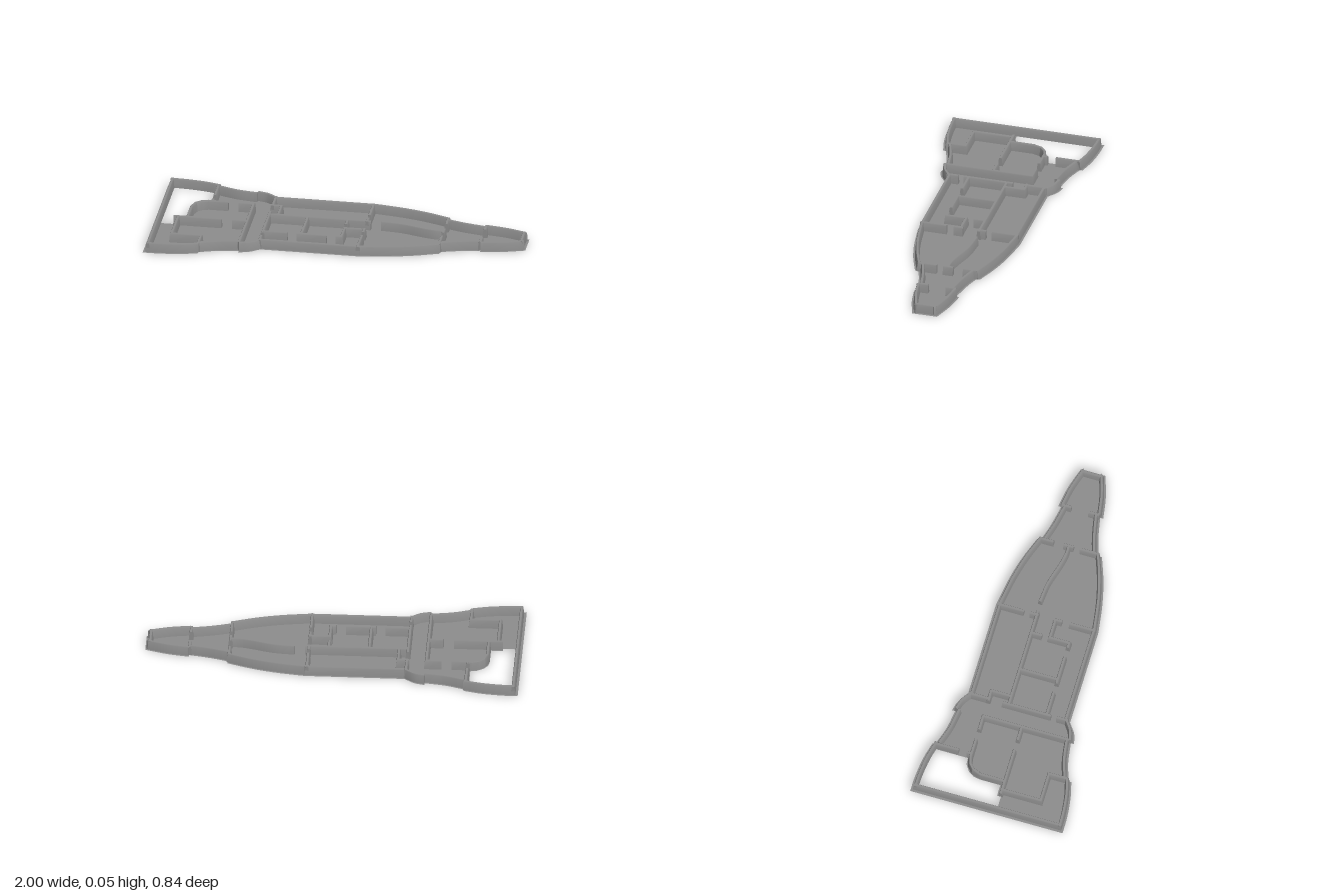
import * as THREE from 'three';
import { toCreasedNormals } from 'three/addons/utils/BufferGeometryUtils.js';

const grey = new THREE.MeshStandardMaterial({ color: 0x8c8c8c, side: THREE.DoubleSide });
grey.name = 'deck grey';

// Half cross-section of a wall: tapered sides and a softened top
const PROFILE = [[-0.0125, 0], [-0.008, 0.045], [-0.0055, 0.05], [0.0055, 0.05], [0.008, 0.045], [0.0125, 0]];

// Smooth curve through [x, z] points
function smooth(pts, n = 12) {
  const curve = new THREE.CatmullRomCurve3(pts.map(([x, z]) => new THREE.Vector3(x, 0, z)));
  return curve.getPoints(n).map(p => [p.x, p.z]);
}

// Sweeps the wall profile along an [x, z] path with mitred corners and capped ends
function wall(name, path) {
  const dirs = path.slice(1).map((p, i) => new THREE.Vector2(p[0] - path[i][0], p[1] - path[i][1]).normalize());
  const rings = path.map(([x, z], i) => {
    const a = dirs[Math.max(i - 1, 0)], b = dirs[Math.min(i, dirs.length - 1)];
    const d = a.clone().add(b).normalize();
    const miter = 1 / d.dot(a);
    return PROFILE.map(([o, y]) => [x - d.y * o * miter, y, z + d.x * o * miter]);
  });
  const pos = [];
  const tri = (...v) => v.forEach(p => pos.push(...p));
  for (let i = 0; i < rings.length - 1; i++) {
    for (let j = 0; j < PROFILE.length - 1; j++) {
      const a = rings[i][j], b = rings[i][j + 1], c = rings[i + 1][j], d = rings[i + 1][j + 1];
      tri(a, b, c);
      tri(c, b, d);
    }
  }
  const s = rings[0], e = rings[rings.length - 1];
  for (let k = 1; k < PROFILE.length - 1; k++) {
    tri(s[0], s[k + 1], s[k]);
    tri(e[0], e[k], e[k + 1]);
  }
  const geo = new THREE.BufferGeometry();
  geo.setAttribute('position', new THREE.Float32BufferAttribute(pos, 3));
  const mesh = new THREE.Mesh(toCreasedNormals(geo, 0.45), grey);
  mesh.name = name;
  return mesh;
}

// Hull outline on one side, in sections from the wide stern to the narrow bow
const SECTIONS = [
  smooth([[-1, 0.422], [-0.91, 0.42], [-0.8, 0.407], [-0.71, 0.385]]),
  smooth([[-0.71, 0.37], [-0.61, 0.338], [-0.5, 0.32]]),
  smooth([[-0.5, 0.338], [-0.445, 0.322], [-0.39, 0.283]]),
  [[-0.39, 0.283], [0.14, 0.283]],
  smooth([[0.14, 0.283], [0.3, 0.258], [0.43, 0.225], [0.555, 0.18]]),
  smooth([[0.555, 0.16], [0.65, 0.132], [0.765, 0.108]]),
  smooth([[0.765, 0.125], [0.88, 0.105], [1, 0.068]]),
];

// Opening in the floor at one stern corner
const OPENING = [
  [-0.965, -0.398], [-0.9, -0.393], [-0.8, -0.375], [-0.735, -0.358], [-0.735, -0.18],
  [-0.77, -0.178], [-0.805, -0.155], [-0.828, -0.12], [-0.833, -0.08], [-0.833, 0.028],
  [-0.895, 0.028], [-0.895, 0.05], [-0.965, 0.05],
];

// Straight and cornered partitions
const PARTITIONS = [
  [[-0.72, -0.37], [-0.72, -0.235]],
  [[-0.72, -0.19], [-0.72, -0.165]],
  [[-0.635, -0.165], [-0.74, -0.165], [-0.775, -0.155], [-0.804, -0.13], [-0.82, -0.085], [-0.82, 0.05]],
  [[-0.895, 0.048], [-0.635, 0.048]],
  [[-0.58, 0.048], [-0.5, 0.048]],
  [[-0.87, 0.048], [-0.87, 0.262], [-0.713, 0.262], [-0.713, 0.365]],
  [[-0.58, -0.165], [-0.5, -0.165], [-0.5, 0.31]],
  [[-0.397, -0.275], [-0.397, -0.155]],
  [[-0.41, -0.165], [-0.35, -0.165], [-0.35, -0.055]],
  [[-0.397, -0.09], [-0.397, 0.18]],
  [[-0.397, 0.21], [-0.397, 0.275]],
  [[-0.397, -0.055], [0.15, -0.055]],
  [[-0.19, -0.055], [-0.19, 0.155]],
  [[-0.397, 0.155], [-0.265, 0.155]],
  [[-0.215, 0.155], [-0.055, 0.155]],
  [[-0.005, 0.155], [0.025, 0.155], [0.025, 0.048], [0.135, 0.048]],
  [[0.025, -0.055], [0.025, 0.005]],
  [[0.13, -0.27], [0.13, -0.125]],
  [[0.13, -0.092], [0.13, -0.045]],
  [[0.13, 0.035], [0.13, 0.085]],
  [[0.13, 0.125], [0.13, 0.27]],
  [[0.55, -0.165], [0.55, -0.085]],
  [[0.55, -0.03], [0.55, 0.025]],
  [[0.55, 0.06], [0.55, 0.165]],
  [[0.763, -0.105], [0.763, -0.05]],
  [[0.763, 0.045], [0.763, 0.105]],
];

export function createModel() {
  const model = new THREE.Group();
  model.name = 'deckPlan';

  // Thin floor with a narrow lip outside the hull walls
  const side = SECTIONS.flat();
  const outline = [...side, ...side.slice().reverse().map(([x, z]) => [x, -z])];
  const toVec = ([x, z]) => new THREE.Vector2(x, -z);
  const shape = new THREE.Shape(outline.map(toVec));
  shape.holes.push(new THREE.Path(OPENING.map(toVec)));
  const floor = new THREE.Mesh(new THREE.ShapeGeometry(shape).rotateX(-Math.PI / 2), grey);
  floor.name = 'floor';
  model.add(floor);

  // Hull walls, mirrored across the centre line and set in from the lip
  const hull = new THREE.Group();
  hull.name = 'hullWalls';
  for (const s of [1, -1]) {
    for (const section of SECTIONS) {
      const path = section.map(([x, z]) => [THREE.MathUtils.clamp(x, -0.984, 0.984), s * (z - 0.023)]);
      hull.add(wall(s > 0 ? 'frontHullWall' : 'backHullWall', path));
    }
  }
  hull.add(wall('sternWall', [[-0.975, -0.409], [-0.975, 0.409]]));
  hull.add(wall('bowWall', [[0.975, -0.06], [0.975, 0.06]]));
  model.add(hull);

  // Inner room walls, with gaps for doorways
  const rooms = new THREE.Group();
  rooms.name = 'partitions';
  for (const path of PARTITIONS) rooms.add(wall('partition', path));
  rooms.add(wall('curvedPartition', smooth([[0.205, -0.06], [0.32, -0.048], [0.44, -0.015], [0.5, -0.003], [0.555, -0.002]], 16)));
  model.add(rooms);

  return model;
}
